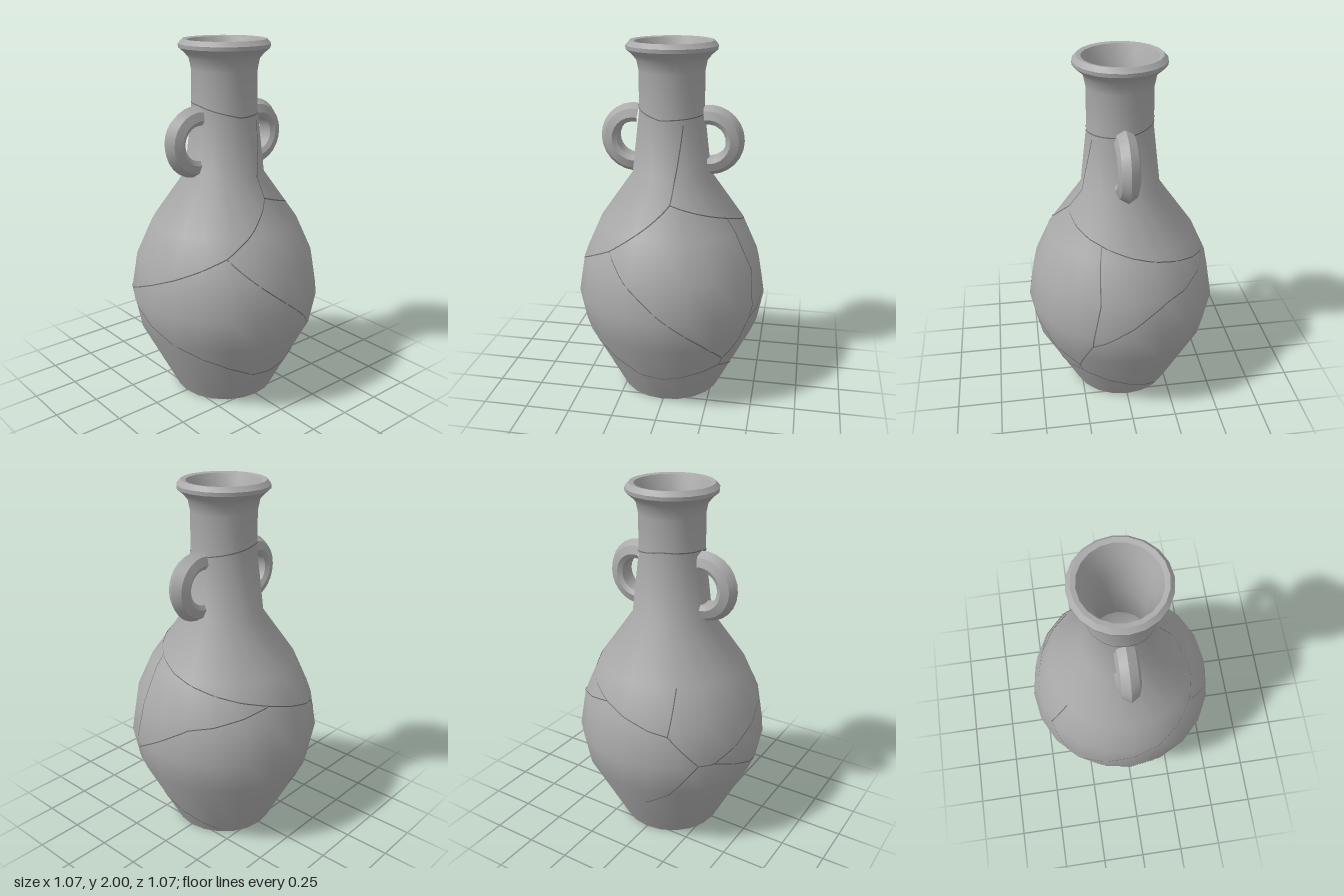
import * as THREE from 'three';
import { toCreasedNormals } from 'three/addons/utils/BufferGeometryUtils.js';

const SIDES = 20;

// Outer profile as [radius, height], base to lip
const OUTER = [
  [0.285, 0], [0.5, 0.42], [0.535, 0.6], [0.5, 0.81], [0.41, 1.01], [0.22, 1.28],
  [0.18, 1.62], [0.178, 1.84], [0.19, 1.9], [0.215, 1.93], [0.245, 1.955], [0.247, 1.975], [0.225, 2.0],
];
// Inner profile, lip down to the floor
const INNER = [
  [0.2, 1.995], [0.17, 1.92], [0.138, 1.82], [0.135, 1.62], [0.17, 1.28], [0.36, 1.01],
  [0.45, 0.81], [0.485, 0.6], [0.45, 0.42], [0.25, 0.05], [0, 0.05],
];

// Seams between the mended shards as [degrees round from the front, height]
const SEAMS = [
  [[-78, 0.3], [-61, 0.4], [-43, 0.605], [-33, 0.605], [52, 0.925], [98, 1.18], [156, 1.08]],
  [[-33, 0.605], [75, 0.2], [95, 0.19], [140, 0.25], [140, 0.3], [52, 0.925]],
  [[140, 0.25], [215, 0.03]],
  [[140, 0.3], [155, 0.53], [200, 0.78], [253, 0.89], [299, 0.78], [317, 0.605]],
  [[155, 0.53], [160, 0.8], [156, 1.08]],
  [[156, 1.08], [253, 0.89]],
  [[299, 0.78], [305, 1.02]],
  [[98, 1.18], [119, 1.58]],
  [[-75, 1.675], [0, 1.665], [80, 1.605], [180, 1.62], [285, 1.675]],
];

function part(name, geometry, material) {
  const mesh = new THREE.Mesh(geometry, material);
  mesh.name = name;
  return mesh;
}

function lathe(points, sides, start, sweep) {
  return new THREE.LatheGeometry(points.map(([r, y]) => new THREE.Vector2(r, y)), sides, start, sweep);
}

// Point on the faceted outer wall, pushed out by a small lift
function onWall(degrees, y, lift) {
  let i = 0;
  while (i < OUTER.length - 2 && OUTER[i + 1][1] < y) i++;
  const [r0, y0] = OUTER[i], [r1, y1] = OUTER[i + 1];
  const step = 360 / SIDES;
  const local = ((degrees % step) + step) % step - step / 2;
  const flat = Math.cos(Math.PI / SIDES) / Math.cos(THREE.MathUtils.degToRad(local));
  const r = THREE.MathUtils.lerp(r0, r1, (y - y0) / (y1 - y0)) * flat + lift;
  const a = THREE.MathUtils.degToRad(degrees);
  return new THREE.Vector3(Math.sin(a) * r, y, Math.cos(a) * r);
}

// Hairline ribbon that follows the wall between the given points
function seamGeometry(path) {
  const positions = [], index = [], width = 0.003, steps = 20;
  for (let s = 0; s < path.length - 1; s++) {
    const [a0, y0] = path[s], [a1, y1] = path[s + 1];
    const at = (t) => onWall(a0 + (a1 - a0) * t, y0 + (y1 - y0) * t, 0.002);
    for (let i = 0; i <= steps; i++) {
      const p = at(i / steps);
      const along = at(Math.min(1, (i + 1) / steps)).sub(at(Math.max(0, (i - 1) / steps)));
      const side = new THREE.Vector3(p.x, 0, p.z).normalize().cross(along).setLength(width);
      const n = positions.length / 3;
      positions.push(...p.clone().add(side).toArray(), ...p.clone().sub(side).toArray());
      if (i < steps) index.push(n, n + 1, n + 2, n + 1, n + 3, n + 2);
    }
  }
  const geometry = new THREE.BufferGeometry();
  geometry.setAttribute('position', new THREE.Float32BufferAttribute(positions, 3));
  geometry.setIndex(index);
  geometry.computeVertexNormals();
  return geometry;
}

export function createModel() {
  const model = new THREE.Group();
  model.name = 'vase';
  const clay = new THREE.MeshStandardMaterial({ color: 0xaaaaaa });
  clay.name = 'grey clay';
  const dark = new THREE.MeshStandardMaterial({ color: 0x707070, side: THREE.DoubleSide });
  dark.name = 'dark seam';

  // Hollow body, neck and lip
  const body = lathe([[0, 0], ...OUTER, ...INNER], SIDES);
  model.add(part('body', toCreasedNormals(body, 0.7), clay));

  // Ring handles with a pointed outer ridge, their ends sunk into the neck
  const section = [
    [0.095, -0.045], [0.12, -0.06], [0.165, -0.045], [0.193, 0],
    [0.165, 0.045], [0.12, 0.06], [0.095, 0.045], [0.095, -0.045],
  ];
  const arc = THREE.MathUtils.degToRad(100);
  const ring = toCreasedNormals(lathe(section, 14, -arc, 2 * arc).rotateZ(Math.PI / 2), 0.6);
  for (const [name, turn] of [['frontHandle', 0], ['backHandle', Math.PI]]) {
    const handle = part(name, ring, clay);
    handle.rotation.y = turn;
    handle.position.set(0, 1.472, 0.205 * Math.cos(turn));
    model.add(handle);
  }

  // Shard seams
  const seams = new THREE.Group();
  seams.name = 'seams';
  for (const path of SEAMS) seams.add(part('seam', seamGeometry(path), dark));
  model.add(seams);

  return model;
}
